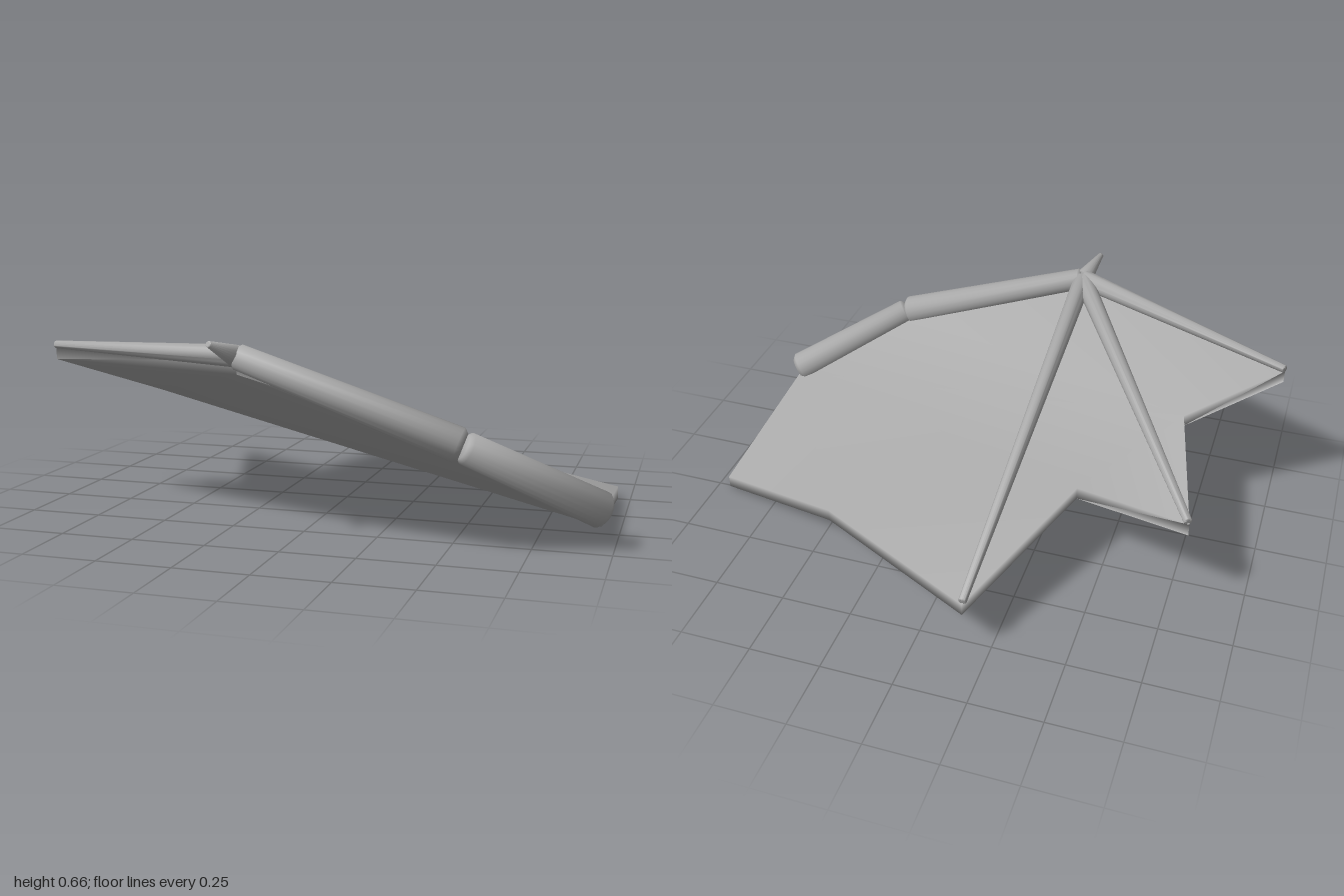
import * as THREE from 'three';
import { toCreasedNormals } from 'three/addons/utils/BufferGeometryUtils.js';

const V = (x, y, z) => new THREE.Vector3(x, y, z);

// Tapered round bone with softened ends, running from a to b
function bone(name, a, b, ra, rb, material) {
  const dir = b.clone().sub(a);
  const len = dir.length();
  const profile = [
    [0, 0], [ra * 0.75, 0], [ra, ra * 0.25],
    [rb, len - rb * 0.25], [rb * 0.75, len], [0, len],
  ].map(([r, y]) => new THREE.Vector2(r, y));
  const geo = toCreasedNormals(new THREE.LatheGeometry(profile, 20), 0.9);
  const mesh = new THREE.Mesh(geo, material);
  mesh.name = name;
  mesh.position.copy(a);
  mesh.quaternion.setFromUnitVectors(V(0, 1, 0), dir.normalize());
  return mesh;
}

// Smooth solid sheet from an outline and its top triangles, with a vertical rim
function sheet(outline, triangles, thickness) {
  const n = outline.length;
  const pos = [];
  for (const drop of [0, thickness]) {
    for (const p of outline) pos.push(p.x, p.y - drop, p.z);
  }
  const index = [];
  for (const [a, b, c] of triangles) index.push(a, c, b, a + n, b + n, c + n);
  for (let i = 0; i < n; i++) {
    const j = (i + 1) % n;
    index.push(i, j, j + n, i, j + n, i + n);
  }
  const geo = new THREE.BufferGeometry();
  geo.setAttribute('position', new THREE.Float32BufferAttribute(pos, 3));
  geo.setIndex(index);
  geo.computeVertexNormals();
  return geo;
}

export function createModel() {
  const wing = new THREE.Group();
  wing.name = 'wing';
  const grey = new THREE.MeshStandardMaterial({ color: 0xaaaaaa });
  grey.name = 'wing grey';

  const shoulder = V(0.967, 0.118, 0.412);
  const elbow = V(0.555, 0.345, 0.638);
  const wrist = V(-0.165, 0.6, 0.672);

  // Arm
  wing.add(bone('upperArm', shoulder, elbow, 0.06, 0.052, grey));
  wing.add(bone('forearm', elbow, wrist, 0.057, 0.042, grey));

  // Fingers and thumb claw
  const tips = [V(-0.99, 0.568, 0.32), V(-0.795, 0.38, -0.38), V(-0.165, 0.217, -0.79)];
  tips.forEach((tip, i) => wing.add(bone('finger' + (i + 1), wrist, tip, 0.036, 0.014, grey)));
  wing.add(bone('thumb', wrist, V(-0.205, 0.65, 0.795), 0.034, 0.01, grey));

  // Membrane: points between the fingertips sit low, so it sags below the fingers
  const outline = [
    V(-0.165, 0.585, 0.665), // 0 wrist
    V(-0.99, 0.56, 0.32), // 1 first fingertip
    V(-0.68, 0.435, 0.12), // 2 notch
    V(-0.8, 0.375, -0.385), // 3 second fingertip
    V(-0.39, 0.305, -0.23), // 4 notch
    V(-0.165, 0.21, -0.795), // 5 third fingertip
    V(0.48, 0.11, -0.39), // 6 trailing edge
    V(0.955, 0.047, -0.255), // 7 root, back
    V(0.955, 0.11, 0.4), // 8 root, front
    V(0.555, 0.34, 0.625), // 9 elbow
  ];
  const triangles = [
    [0, 1, 2], [2, 3, 4], [4, 5, 6], [6, 7, 8],
    [4, 6, 8], [2, 4, 8], [2, 8, 9], [0, 2, 9],
  ];
  const membrane = new THREE.Mesh(sheet(outline, triangles, 0.045), grey);
  membrane.name = 'membrane';
  wing.add(membrane);

  return wing;
}
